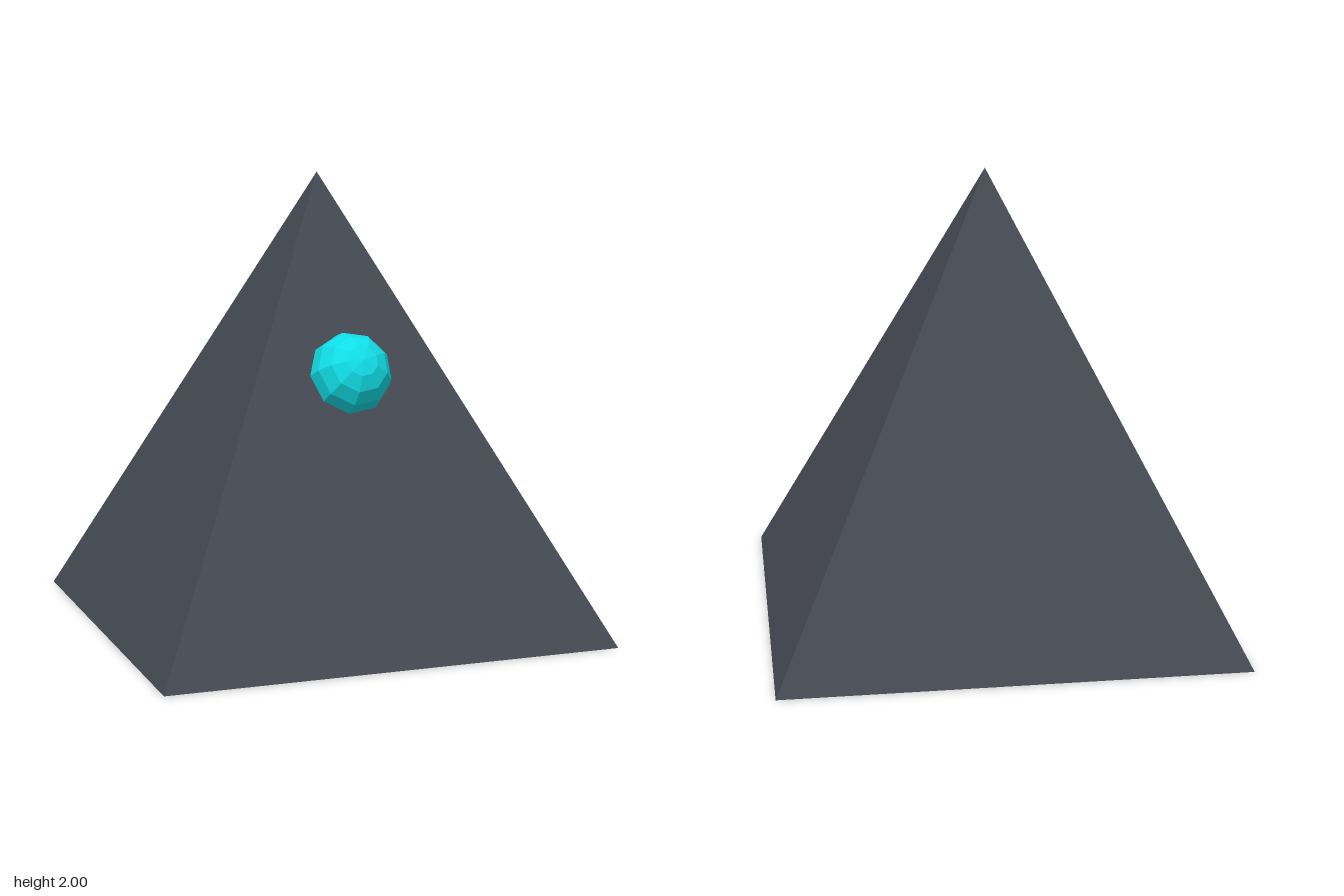
import * as THREE from 'three';

const flat = (color) => new THREE.MeshStandardMaterial({ color, flatShading: true });

export function createModel() {
  const model = new THREE.Group();

  // Square pyramid with a closed base
  const bodyGeometry = new THREE.ConeGeometry(Math.SQRT2, 2, 4);
  bodyGeometry.rotateY(Math.PI / 4);
  const body = new THREE.Mesh(bodyGeometry, flat(0x454952));
  body.name = 'pyramidBody';
  body.position.y = 1;
  model.add(body);

  // Faceted eye set into the front, its pole along the slope's normal
  const eye = new THREE.Mesh(new THREE.SphereGeometry(0.18, 9, 8), flat(0x10dde6));
  eye.name = 'eye';
  eye.position.set(-0.005, 1.15, 0.425);
  eye.rotation.x = Math.atan2(2, 1);
  model.add(eye);

  return model;
}
